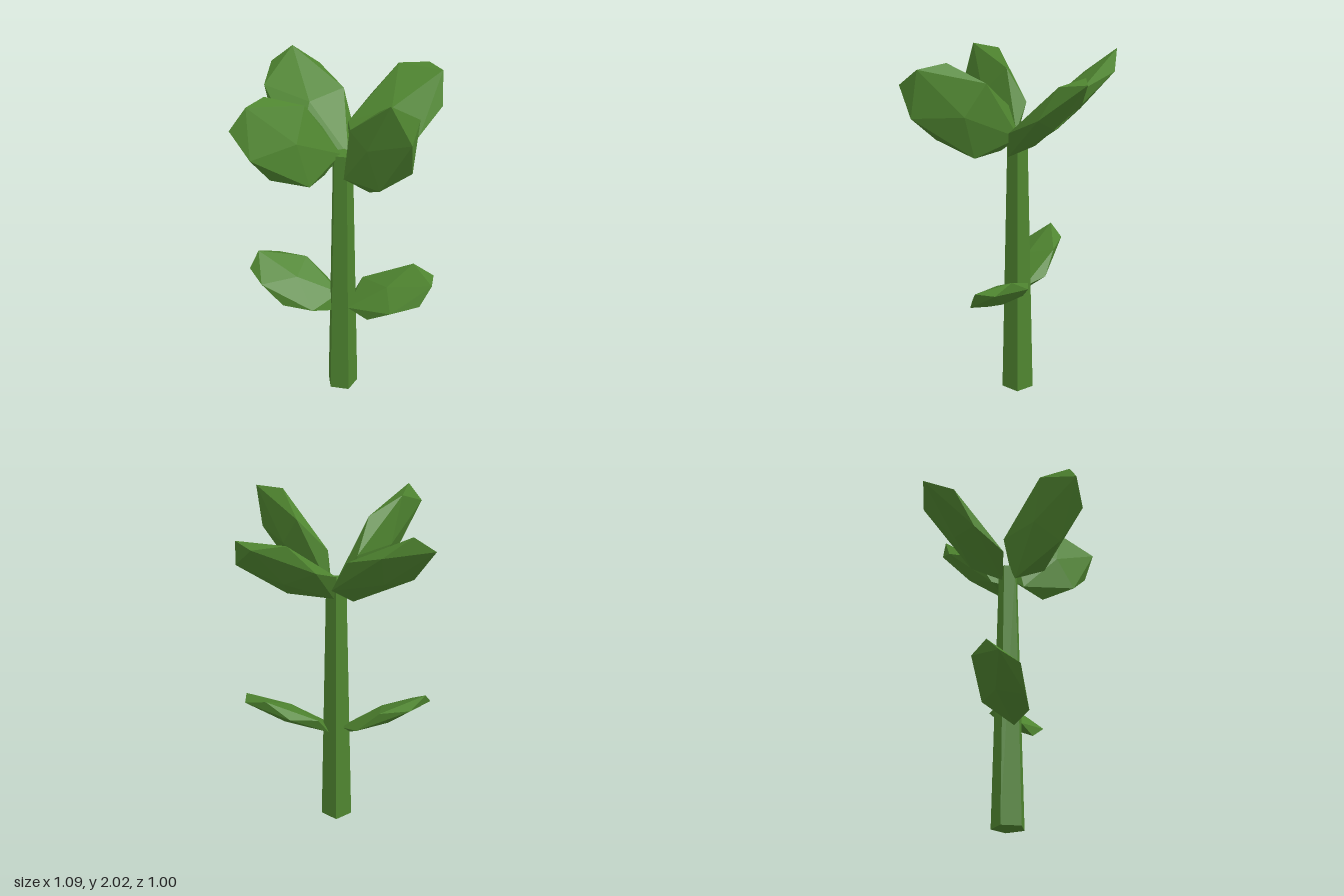
import * as THREE from 'three';

const green = new THREE.MeshStandardMaterial({ color: 0x4f8530, flatShading: true });

// Flattened 20-sided leaf: two staggered rings of five plus a pole on each side.
// a and b span the leaf's plane; the first ring lies on the a x b side.
function makeLeaf(name, centre, a, b, thickness) {
  const c = new THREE.Vector3(...centre);
  const A = new THREE.Vector3(...a);
  const B = new THREE.Vector3(...b);
  const N = A.clone().cross(B).normalize().multiplyScalar(thickness);
  const points = [];
  for (const side of [1, -1]) {
    for (let k = 0; k < 5; k++) {
      const t = (k + (side < 0 ? 0.5 : 0)) * Math.PI * 0.4;
      points.push(c.clone()
        .addScaledVector(A, Math.cos(t))
        .addScaledVector(B, Math.sin(t))
        .addScaledVector(N, 0.447 * side));
    }
  }
  points.push(c.clone().add(N), c.clone().sub(N));

  const faces = [];
  for (let k = 0; k < 5; k++) {
    const n = (k + 1) % 5;
    faces.push(10, k, n, k, 5 + k, n, 5 + k, 5 + n, n, 11, 5 + n, 5 + k);
  }
  const indexed = new THREE.BufferGeometry().setFromPoints(points);
  indexed.setIndex(faces);
  const geometry = indexed.toNonIndexed();
  geometry.computeVertexNormals();
  const mesh = new THREE.Mesh(geometry, green);
  mesh.name = name;
  return mesh;
}

export function createModel() {
  const plant = new THREE.Group();
  plant.name = 'plant';

  // Tapered five-sided stem, flat side to the front
  const stem = new THREE.Mesh(new THREE.CylinderGeometry(0.058, 0.097, 1.59, 5), green);
  stem.name = 'stem';
  stem.rotation.y = Math.PI;
  stem.position.set(0.008, 0.795, 0);
  plant.add(stem);

  // Crown of four large leaves: the front pair stands upright, the back pair leans out
  const crown = new THREE.Group();
  crown.name = 'crown';
  crown.add(
    makeLeaf('frontLeftLeaf', [0.25, 1.735, 0.235], [0.19, 0.262, 0.166], [0.117, -0.087, 0.178], 0.075),
    makeLeaf('frontRightLeaf', [-0.235, 1.735, 0.235], [-0.209, 0.153, 0.243], [-0.023, 0.22, -0.055], 0.075),
    makeLeaf('backLeftLeaf', [0.257, 1.74, -0.243], [-0.012, 0.197, -0.225], [-0.26, -0.142, 0.094], 0.073),
    makeLeaf('backRightLeaf', [-0.23, 1.74, -0.238], [0.171, 0.067, -0.123], [-0.213, 0.243, -0.211], 0.073),
  );
  plant.add(crown);

  // Two smaller leaves halfway up the stem
  const lower = new THREE.Group();
  lower.name = 'lowerLeaves';
  lower.add(
    makeLeaf('lowerLeftLeaf', [0.297, 0.72, 0.003], [0.234, 0.126, -0.052], [0.11, -0.032, 0.138], 0.055),
    makeLeaf('lowerRightLeaf', [-0.28, 0.72, 0], [-0.239, 0.137, -0.051], [-0.109, -0.029, 0.144], 0.055),
  );
  plant.add(lower);

  return plant;
}
